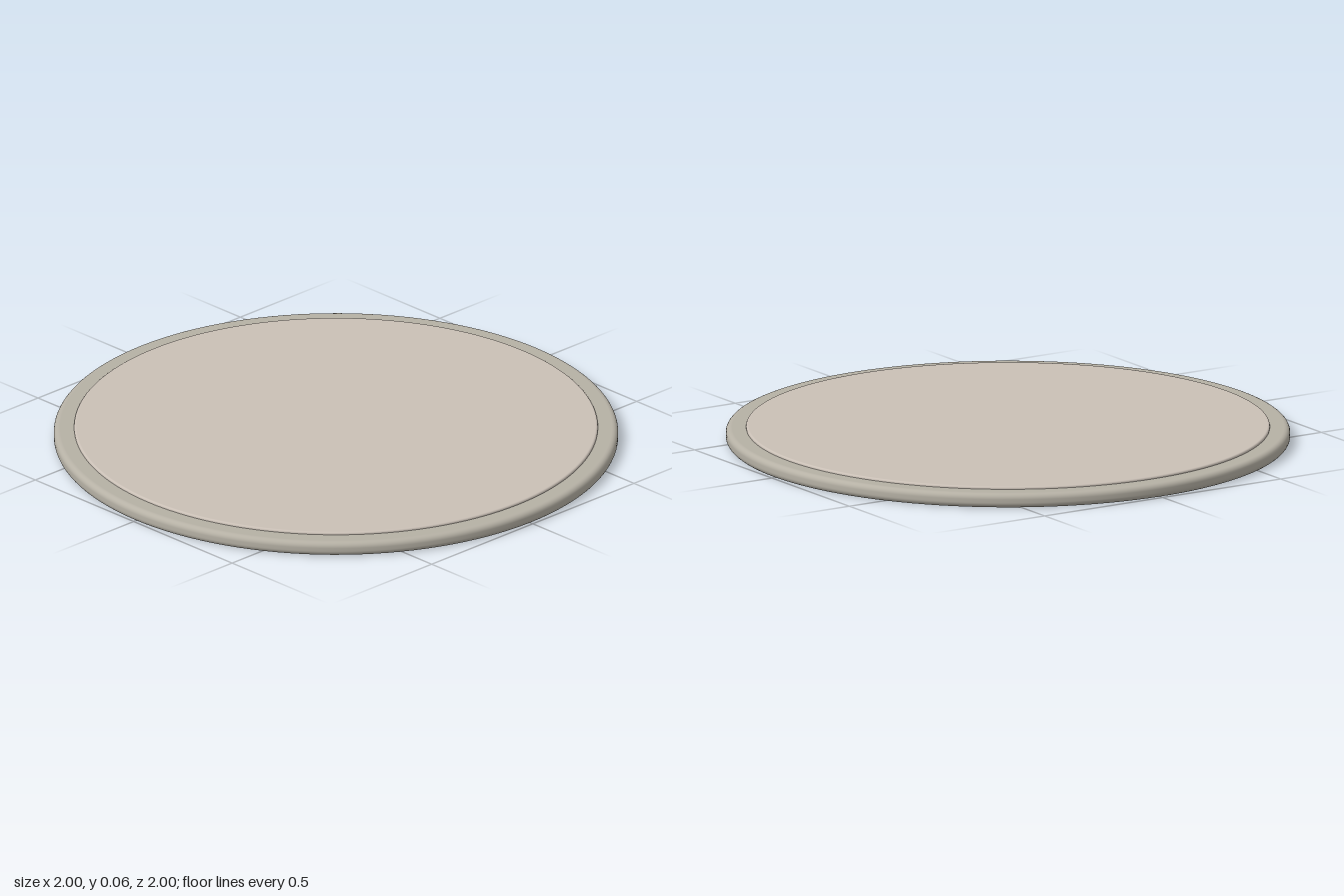
import * as THREE from 'three';

const SEGMENTS = 128;

// Solid disc with filleted edges; short flat runs beside each fillet keep the faces flat-shaded
function roundedDisc(radius, y0, y1, fillet, steps) {
  const points = [new THREE.Vector2(0, y0), new THREE.Vector2(radius - fillet - 0.002, y0)];
  for (const [cy, start] of [[y0 + fillet, -Math.PI / 2], [y1 - fillet, 0]]) {
    for (let i = 0; i <= steps; i++) {
      const a = start + (i / steps) * Math.PI / 2;
      points.push(new THREE.Vector2(radius - fillet + fillet * Math.cos(a), cy + fillet * Math.sin(a)));
    }
  }
  points.push(new THREE.Vector2(radius - fillet - 0.002, y1), new THREE.Vector2(0, y1));
  return new THREE.LatheGeometry(points, SEGMENTS);
}

export function createModel() {
  const group = new THREE.Group();
  group.name = 'roundBase';

  const add = (name, geometry, color) => {
    const mesh = new THREE.Mesh(geometry, new THREE.MeshStandardMaterial({ color }));
    mesh.name = name;
    group.add(mesh);
  };

  // Main disc with rounded rim
  add('baseDisc', roundedDisc(1, 0, 0.052, 0.02, 6), 0xb6b1a5);

  // Slightly raised inlay on top
  add('topPad', roundedDisc(0.928, 0.036, 0.061, 0.007, 4), 0xcac0b6);

  return group;
}
